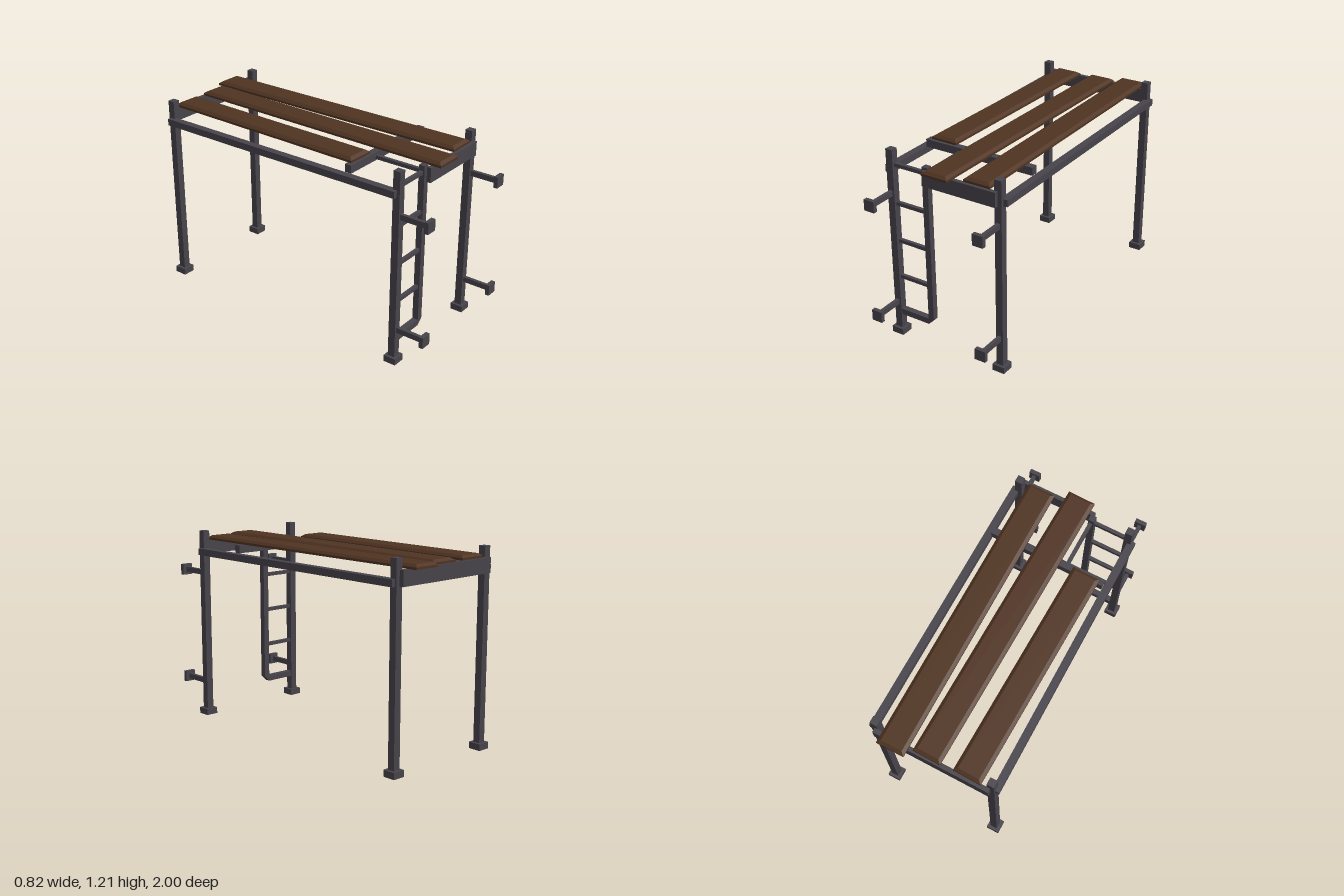
import * as THREE from 'three';

export function createModel() {
  const model = new THREE.Group();
  const metal = new THREE.MeshStandardMaterial({ color: 0x47444b });
  metal.name = 'dark metal';
  const wood = new THREE.MeshStandardMaterial({ color: 0x4f3321 });
  wood.name = 'brown wood';

  const add = (name, geometry, material) => {
    const mesh = new THREE.Mesh(geometry, material);
    mesh.name = name;
    model.add(mesh);
    return mesh;
  };
  // Metal bar given by its extents along each axis
  const bar = (name, [x0, x1], [y0, y1], [z0, z1]) =>
    add(name, new THREE.BoxGeometry(x1 - x0, y1 - y0, z1 - z0), metal)
      .position.set((x0 + x1) / 2, (y0 + y1) / 2, (z0 + z1) / 2);
  const around = (c, size) => [c - size / 2, c + size / 2];

  const FRONT = 0.782, BACK = -0.908, LEG_X = 0.364;

  for (const side of [-1, 1]) {
    const x = side * LEG_X;
    // Legs with square feet
    for (const z of [FRONT, BACK]) {
      bar('leg', around(x, 0.045), [0, 1.21], around(z, 0.045));
      bar('foot', around(x, 0.08), [0, 0.04], around(z, 0.08));
    }
    // Long rail on the outside of the legs
    bar('sideRail', around(side * 0.388, 0.045), [1.057, 1.099], [-0.92, 0.785]);
    // Wall brackets: arm and end plate
    for (const y of [0.219, 0.94]) {
      bar('bracketArm', around(x, 0.022), around(y, 0.033), [FRONT, 0.98]);
      bar('bracketPlate', around(x, 0.069), around(y, 0.069), [0.974, 1]);
    }
  }

  // Cross beams
  bar('frontBeam', [-0.122, 0.362], [1.057, 1.147], [0.802, 0.828]);
  bar('backBeam', [-0.362, 0.362], [1.057, 1.147], [-0.957, -0.929]);
  bar('middleBeam', [-0.364, 0.364], [1.099, 1.147], [0.42, 0.464]);

  // Ladder stile and bottom bar, with a mitred corner
  const outline = new THREE.Shape([
    [-0.345, 0.133], [-0.142, 0.133], [-0.104, 0.17], [-0.104, 1.158],
    [-0.142, 1.158], [-0.142, 0.17], [-0.345, 0.17],
  ].map(([x, y]) => new THREE.Vector2(x, y)));
  const stile = new THREE.ExtrudeGeometry(outline, { depth: 0.038, bevelEnabled: false });
  add('ladderStile', stile, metal).position.z = FRONT - 0.021;

  for (const y of [0.391, 0.632, 0.873, 1.115])
    bar('ladderRung', [-0.345, -0.138], around(y, 0.022), around(FRONT - 0.003, 0.022));
  bar('ladderBrace', around(-0.121, 0.022), around(1.118, 0.022), [0.44, 0.78]);

  // Planks with bevelled top edges
  const plank = (x, z0, z1, angle) => {
    const width = 0.172, height = 0.027, length = z1 - z0, inset = 0.02;
    const box = new THREE.BoxGeometry(width, height, length, 1, 2, 1);
    const p = box.attributes.position;
    for (let i = 0; i < p.count; i++) {
      if (p.getY(i) < height / 4) continue;
      p.setX(i, p.getX(i) - Math.sign(p.getX(i)) * inset);
      p.setZ(i, p.getZ(i) - Math.sign(p.getZ(i)) * inset);
    }
    const geometry = box.toNonIndexed();
    geometry.computeVertexNormals();
    const mesh = add('plank', geometry, wood);
    mesh.position.set(x, 1.147 + height / 2, (z0 + z1) / 2);
    mesh.rotation.y = angle;
  };
  plank(-0.237, -0.938, 0.445, -0.021);
  plank(0.01, -0.945, 0.873, -0.017);
  plank(0.227, -1, 0.808, 0.003);

  return model;
}
